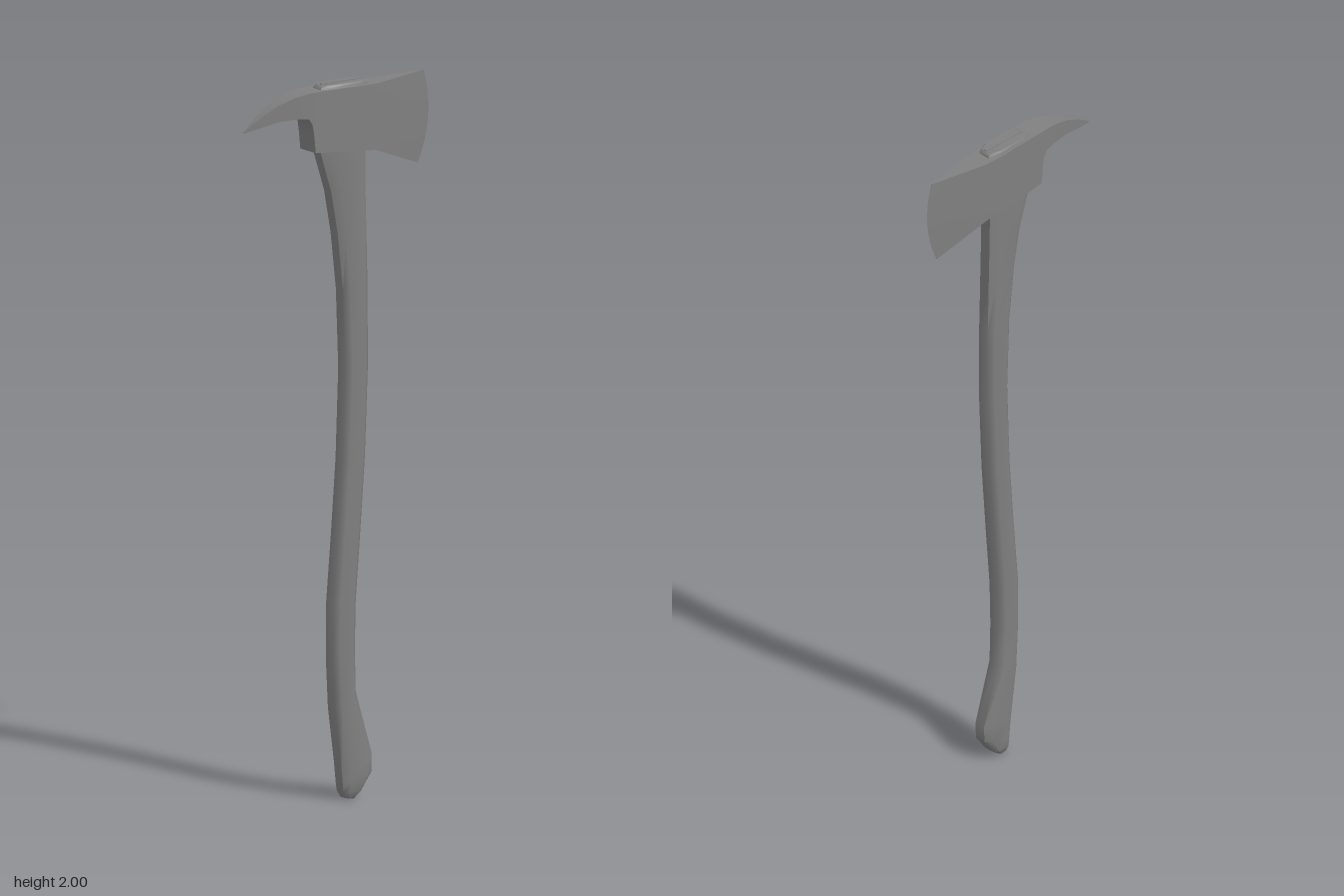
import * as THREE from 'three';
import { toCreasedNormals } from 'three/addons/utils/BufferGeometryUtils.js';

const material = new THREE.MeshStandardMaterial({ color: 0x808080 });

// Closed skin through equal-length rings of points, capped at both ends
function loft(rings, crease) {
  const n = rings[0].length, pos = [];
  const tri = (a, b, c) => pos.push(...a, ...b, ...c);
  for (let i = 0; i < rings.length - 1; i++) {
    for (let j = 0; j < n; j++) {
      const k = (j + 1) % n;
      const a = rings[i][j], b = rings[i][k], c = rings[i + 1][k], d = rings[i + 1][j];
      tri(a, b, c);
      tri(a, c, d);
    }
  }
  const centre = r => [0, 1, 2].map(k => r.reduce((s, p) => s + p[k], 0) / n);
  const first = rings[0], last = rings[rings.length - 1];
  const c0 = centre(first), c1 = centre(last);
  for (let j = 0; j < n; j++) {
    const k = (j + 1) % n;
    tri(c0, first[k], first[j]);
    tri(c1, last[j], last[k]);
  }
  const geo = new THREE.BufferGeometry();
  geo.setAttribute('position', new THREE.Float32BufferAttribute(pos, 3));
  return toCreasedNormals(geo, crease);
}

// Chamfered eight-sided handle section between a left and a right edge point
function handleRing([lx, ly, rx, ry, hz]) {
  const corners = [[1, 0.56], [0.6, 1], [-0.6, 1], [-1, 0.56], [-1, -0.56], [-0.6, -1], [0.6, -1], [1, -0.56]];
  return corners.map(([u, w]) => {
    const t = (u + 1) / 2;
    return [lx + (rx - lx) * t, ly + (ry - ly) * t, -w * hz];
  });
}

// Upright head section: top point, bottom point, half thickness, forward bulge
const ROWS = 8;
function headRing([tx, ty, bx, by, hz, bulge = 0]) {
  const side = z => Array.from({ length: ROWS + 1 }, (_, i) => {
    const t = i / ROWS;
    return [tx + (bx - tx) * t + bulge * 4 * t * (1 - t), ty + (by - ty) * t, z];
  });
  return [...side(hz), ...side(-hz).reverse()];
}

export function createModel() {
  const group = new THREE.Group();
  const add = (name, geo) => {
    const mesh = new THREE.Mesh(geo, material);
    mesh.name = name;
    group.add(mesh);
    return mesh;
  };

  // Curved, softly shaded handle with a flared grip end, running up through the head
  add('handle', loft([
    [0.022, 0.006, 0.05, 0.003, 0.02],
    [0.013, 0.025, 0.072, 0.02, 0.027],
    [0.01, 0.05, 0.107, 0.07, 0.029],
    [0.005, 0.10, 0.108, 0.12, 0.029],
    [-0.016, 0.26, 0.054, 0.30, 0.029],
    [-0.023, 0.40, 0.051, 0.42, 0.029],
    [-0.022, 0.55, 0.054, 0.55, 0.029],
    [-0.005, 0.75, 0.07, 0.75, 0.029],
    [0.01, 0.95, 0.085, 0.95, 0.029],
    [0.019, 1.20, 0.095, 1.20, 0.029],
    [0.011, 1.42, 0.094, 1.42, 0.029],
    [-0.007, 1.58, 0.09, 1.58, 0.029],
    [-0.029, 1.70, 0.087, 1.70, 0.029],
    [-0.064, 1.81, 0.086, 1.81, 0.03],
    [-0.065, 1.99, 0.092, 1.99, 0.032],
    [-0.057, 1.998, 0.085, 1.998, 0.028],
  ].map(handleRing), 0.95));

  // Axe head: curved pick, square eye block, tapered blade
  add('axeHead', loft([
    [-0.312, 1.902, -0.311, 1.898, 0.001],
    [-0.26, 1.938, -0.255, 1.91, 0.012],
    [-0.21, 1.964, -0.20, 1.919, 0.019],
    [-0.16, 1.98, -0.15, 1.92, 0.027],
    [-0.118, 1.987, -0.116, 1.916, 0.033],
    [-0.108, 1.988, -0.105, 1.90, 0.034],
    [-0.10, 1.988, -0.10, 1.87, 0.035],
    [-0.095, 1.988, -0.095, 1.82, 0.035],
    [-0.02, 1.988, -0.02, 1.813, 0.036],
    [0.05, 1.986, 0.05, 1.806, 0.036],
    [0.115, 1.985, 0.11, 1.80, 0.033],
    [0.295, 1.992, 0.275, 1.736, 0.0008, 0.025],
  ].map(headRing), 0.5));

  // Thin wedge driven into the top of the handle
  const wedge = add('wedge', new THREE.BoxGeometry(0.135, 0.04, 0.007));
  wedge.position.set(0.017, 1.98, 0);
  wedge.rotation.y = -0.03;

  return group;
}
